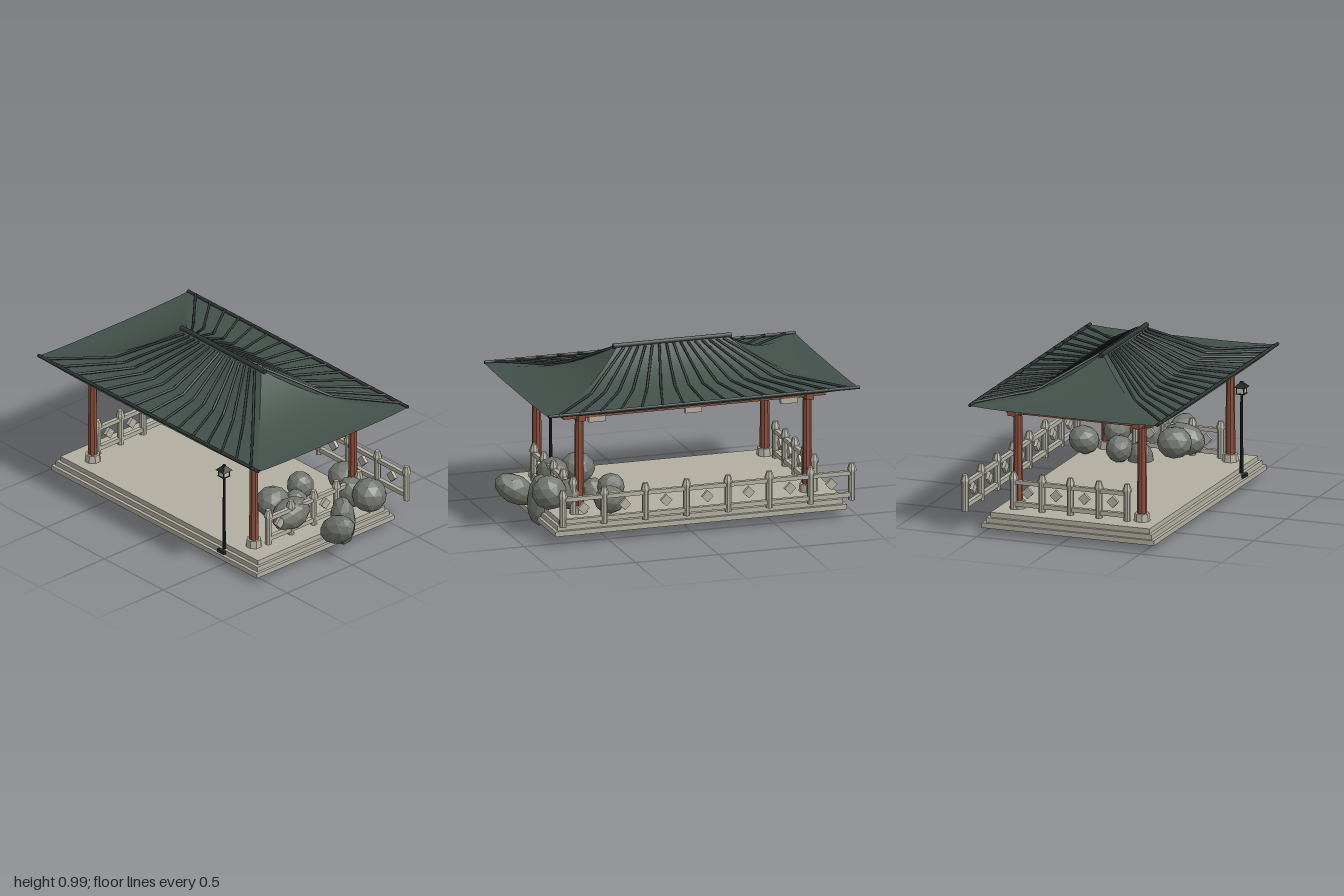
import * as THREE from 'three';

const mat = (name, color, extra = {}) => {
  const m = new THREE.MeshStandardMaterial({ color, ...extra });
  m.name = name;
  return m;
};

export function createModel() {
  const stone = mat('pale stone', 0xb3b0a2, { flatShading: true });
  const tile = mat('roof tile green', 0x43504a, { side: THREE.DoubleSide });
  const ridgeMat = mat('dark roof rib', 0x2f3735);
  const wood = mat('red timber', 0x8c4f3d, { flatShading: true });
  const rockMat = mat('grey rock', 0x73766f, { flatShading: true });
  const iron = mat('black iron', 0x1f2826, { flatShading: true });
  const panel = mat('lantern panel', 0xc6c5b6);

  const model = new THREE.Group();
  const CX = -0.065, CZ = 0.03; // pavilion centre

  const group = (name, parent = model) => {
    const g = new THREE.Group();
    g.name = name;
    parent.add(g);
    return g;
  };
  const add = (parent, name, geo, material, x = 0, y = 0, z = 0) => {
    const m = new THREE.Mesh(geo, material);
    m.name = name;
    m.position.set(x, y, z);
    parent.add(m);
    return m;
  };
  const box = (parent, name, material, w, h, d, x, y, z) =>
    add(parent, name, new THREE.BoxGeometry(w, h, d), material, x, y, z);
  // upright cylinder between two heights
  const post = (parent, name, material, rTop, rBottom, y0, y1, x, z, sides = 8) => {
    const geo = new THREE.CylinderGeometry(rTop, rBottom, y1 - y0, sides);
    geo.rotateY(Math.PI / sides);
    return add(parent, name, geo, material, x, (y0 + y1) / 2, z);
  };
  // round bar between two points
  const bar = (parent, name, material, r, a, b) => {
    const dir = b.clone().sub(a);
    const m = add(parent, name, new THREE.CylinderGeometry(r, r, dir.length(), 8), material);
    m.position.copy(a).add(b).multiplyScalar(0.5);
    m.quaternion.setFromUnitVectors(new THREE.Vector3(0, 1, 0), dir.normalize());
    return m;
  };
  const V = (x, y, z) => new THREE.Vector3(x, y, z);

  // Stepped platform
  const platform = group('platform');
  for (let i = 0; i < 3; i++) {
    box(platform, 'step', stone, 1.75 - i * 0.035, 0.029, 1.055 - i * 0.04, CX, 0.05 + i * 0.029, 0.033);
  }

  // Columns, joints and beams
  const frame = group('timberFrame');
  const zs = [0.413, -0.347], xs = [-0.75, 0.62];
  for (const x of xs) {
    for (const z of zs) {
      post(frame, 'columnBase', stone, 0.043, 0.048, 0.12, 0.167, x, z);
      post(frame, 'column', wood, 0.024, 0.029, 0.165, 0.7, x, z);
      box(frame, 'joint', wood, 0.052, 0.06, 0.052, x, 0.704, z);
    }
    box(frame, 'sideBeam', wood, 0.045, 0.044, 0.885, x, 0.702, 0.035);
  }
  for (const z of zs) {
    box(frame, 'longBeam', wood, 1.575, 0.044, 0.045, CX - 0.002, 0.71, z);
    for (const x of [-0.64, CX, 0.515]) box(frame, 'beamPlaque', stone, 0.1, 0.034, 0.03, x, 0.672, z);
  }

  // Hipped roof with sagging slopes and slightly raised corners
  const roof = group('roof');
  roof.position.set(CX, 0, CZ);
  for (let k = 0; k < 4; k++) {
    const geo = new THREE.PlaneGeometry(2, 1, 16, 10);
    const p = geo.attributes.position;
    for (let i = 0; i < p.count; i++) {
      const u = p.getX(i), s = p.getY(i) + 0.5;
      const hx = THREE.MathUtils.lerp(0.935, 0.335, s);
      const hz = THREE.MathUtils.lerp(0.583, 0.01, s);
      const y = 0.755 + 0.213 * s ** 2.3 + 0.012 * u ** 4 * (1 - s) ** 2;
      p.setXYZ(i, u * (k % 2 ? hz : hx), y, k % 2 ? hx : hz);
    }
    geo.rotateY(k * Math.PI / 2);
    geo.computeVertexNormals();
    add(roof, 'roofSlope', geo, tile);
  }
  bar(roof, 'ridge', ridgeMat, 0.015, V(-0.355, 0.973, 0), V(0.355, 0.973, 0));
  for (const side of [1, -1]) {
    bar(roof, 'eaveBar', ridgeMat, 0.01, V(-0.935, 0.769, side * 0.574), V(0.935, 0.769, side * 0.574));
    // fanned ribs with one bend
    for (let i = 0; i < 15; i++) {
      const t = i / 7 - 1;
      const top = V(t * 0.3, 0.967, side * 0.03);
      const mid = V(t * 0.59, 0.798, side * 0.305);
      const low = V(t * 0.875, 0.772, side * 0.578);
      bar(roof, 'roofRib', ridgeMat, 0.0075, top, mid);
      bar(roof, 'roofRib', ridgeMat, 0.0075, mid, low);
    }
  }

  // Fence laid along local x, centred on its origin
  const fence = (name, count, gap) => {
    const g = group(name);
    const half = (count - 1) * gap / 2;
    for (let i = 0; i < count; i++) {
      const x = i * gap - half;
      post(g, 'fencePost', stone, 0.02, 0.02, 0.122, 0.3, x, 0);
      post(g, 'fenceCapCollar', stone, 0.026, 0.026, 0.293, 0.306, x, 0);
      post(g, 'fenceCap', stone, 0.015, 0.026, 0.306, 0.34, x, 0);
      if (i < count - 1) {
        const d = box(g, 'fenceDiamond', stone, 0.05, 0.05, 0.02, x + gap / 2, 0.226, 0);
        d.rotation.z = Math.PI / 4;
      }
    }
    box(g, 'topRail', stone, half * 2, 0.024, 0.026, 0, 0.284, 0);
    box(g, 'bottomRail', stone, half * 2, 0.026, 0.026, 0, 0.155, 0);
    return g;
  };
  fence('backFence', 8, 0.248).position.set(-0.067, 0, -0.597);
  for (const x of [-0.79, 0.66]) {
    const f = fence('sideFence', 5, 0.174);
    f.position.set(x, 0, -0.01);
    f.rotation.y = Math.PI / 2;
  }

  // Garden lamp
  const lamp = group('lamp');
  lamp.position.set(0.497, 0, 0.53);
  box(lamp, 'lampFoot', iron, 0.03, 0.05, 0.03, 0, 0.056, 0);
  box(lamp, 'lampBase', iron, 0.058, 0.018, 0.058, 0, 0.082, 0);
  post(lamp, 'lampPole', iron, 0.007, 0.011, 0.085, 0.565, 0, 0);
  box(lamp, 'lanternFloor', iron, 0.052, 0.006, 0.052, 0, 0.565, 0);
  box(lamp, 'lanternPanel', panel, 0.044, 0.04, 0.044, 0, 0.588, 0);
  for (const x of [-1, 1]) for (const z of [-1, 1]) {
    box(lamp, 'lanternEdge', iron, 0.005, 0.042, 0.005, x * 0.022, 0.587, z * 0.022);
  }
  post(lamp, 'lanternRoof', iron, 0.014, 0.05, 0.602, 0.628, 0, 0, 4);
  post(lamp, 'lanternTip', iron, 0.01, 0.012, 0.626, 0.636, 0, 0);

  // Rocks: centre, half sizes, tilt about z and x
  const rocks = group('rocks');
  const rockList = [
    [0.62, 0.225, 0.13, 0.09, 0.09, 0.125, 0, 0.2],
    [0.885, 0.185, 0.01, 0.13, 0.082, 0.08, 0.55, 0],
    [0.78, 0.15, -0.125, 0.075, 0.15, 0.072, 0.05, 0],
    [0.79, 0.25, -0.32, 0.1, 0.1, 0.1, 0.2, 0.4],
    [0.46, 0.205, -0.42, 0.09, 0.08, 0.09, 0, 0.4],
    [0.47, 0.24, 0.13, 0.1, 0.09, 0.1, 0.1, 0],
    [0.37, 0.2, -0.17, 0.08, 0.08, 0.075, -0.5, 0],
    [0.45, 0.13, -0.07, 0.075, 0.105, 0.075, 0.2, 0],
    [0.66, 0.225, -0.3, 0.09, 0.09, 0.08, 0, 0],
  ];
  rockList.forEach(([x, y, z, rx, ry, rz, tiltZ, tiltX], i) => {
    const geo = new THREE.IcosahedronGeometry(1.02, 1);
    geo.rotateY(i * 1.3);
    const rock = add(rocks, 'rock', geo, rockMat, x, y, z);
    rock.scale.set(rx, ry, rz);
    rock.rotation.set(tiltX, 0, tiltZ);
  });

  return model;
}
